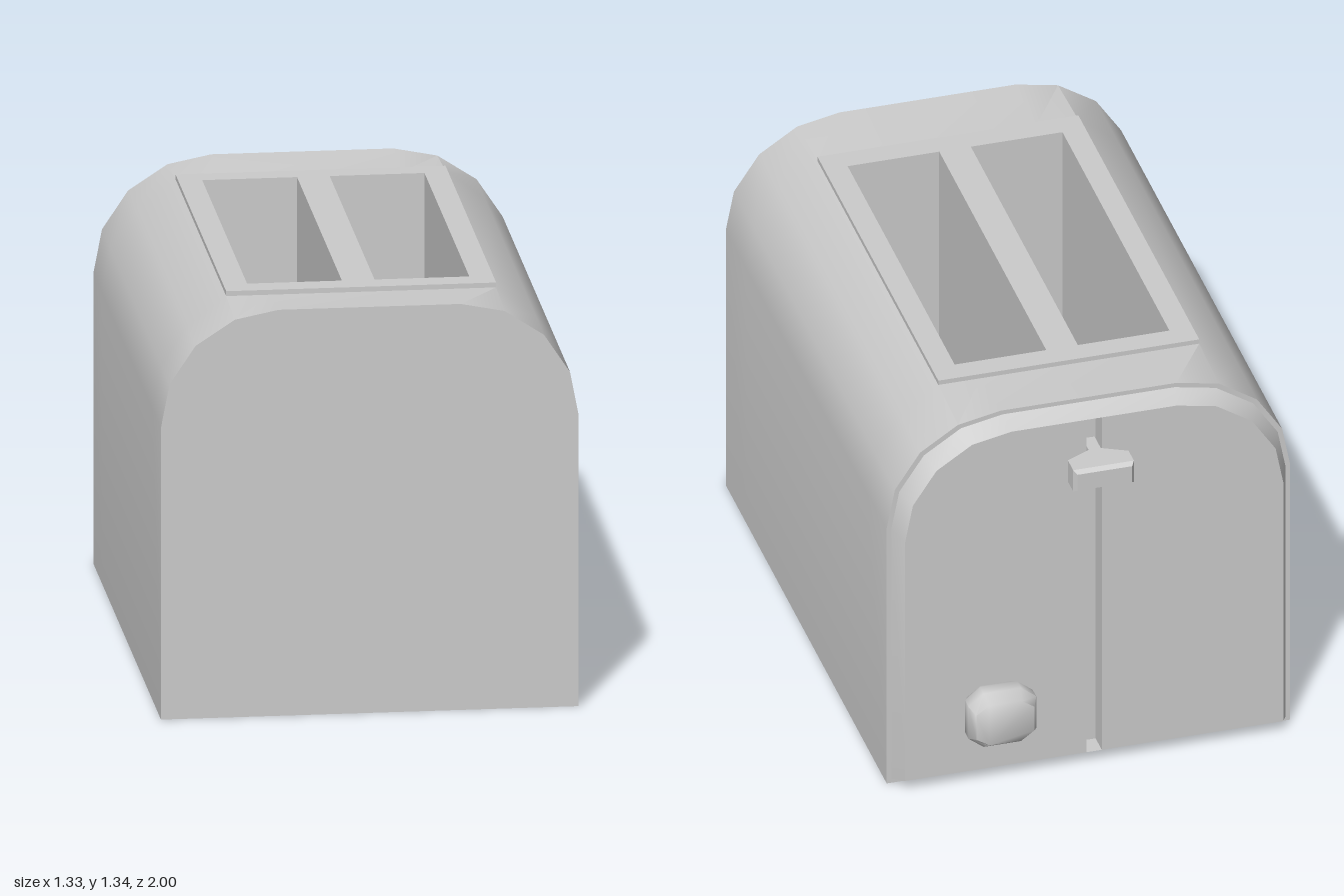
import * as THREE from 'three';
import { toCreasedNormals } from 'three/addons/utils/BufferGeometryUtils.js';

const H = 1.335, W = 0.665;
// right half of the arched outline, bottom to top
const ARCH = [[W, 0], [W, 0.96], [0.638, 1.1], [0.555, 1.225], [0.43, 1.307], [0.29, H]];
// same outline with its crown flattened under the top plate
const FLAT = [...ARCH.slice(0, 4), [0.43, 1.32], [0.29, 1.32]];

const mirror = (half) => [...half, ...half.map(([x, y]) => [-x, y]).reverse()];
const inset = (pts, d) => pts.map(([x, y]) => [x * (1 - d / W), d + y * (1 - 2 * d / H)]);
const rect = (w, h) => [[w, -h], [w, h], [-w, h], [-w, -h]];
const roundedRect = (w, h) => mirror([[0.55 * w, -h], [w, -0.6 * h], [w, 0.6 * h], [0.55 * w, h]]);

// skin through rings [z, points], listed front to back, counter-clockwise seen from the front
function loft(rings, { capFront = false, capBack = false, skip = () => false, crease = 0.5 } = {}) {
  const out = [];
  const n = rings[0][1].length;
  const p = (i, j) => [...rings[i][1][j % n], rings[i][0]];
  for (let i = 0; i < rings.length - 1; i++) {
    for (let j = 0; j < n; j++) {
      if (skip(i, j)) continue;
      const a = p(i, j), b = p(i, j + 1), c = p(i + 1, j + 1), d = p(i + 1, j);
      out.push(...a, ...d, ...b, ...b, ...d, ...c);
    }
  }
  const e = rings.length - 1;
  for (let j = 1; j < n - 1; j++) {
    if (capFront) out.push(...p(0, 0), ...p(0, j), ...p(0, j + 1));
    if (capBack) out.push(...p(e, 0), ...p(e, j + 1), ...p(e, j));
  }
  const g = new THREE.BufferGeometry();
  g.setAttribute('position', new THREE.Float32BufferAttribute(out, 3));
  g.computeVertexNormals();
  return toCreasedNormals(g, crease);
}

// open tray whose mouth lies at z = 0 and faces +z
const tray = (w, h, depth) => loft([[0, rect(w, h)], [-depth, rect(w, h)]], { capBack: true });

export function createModel() {
  const group = new THREE.Group();
  const mat = new THREE.MeshStandardMaterial({ color: 0xcccccc });
  const open = new THREE.MeshStandardMaterial({ color: 0xcccccc, side: THREE.DoubleSide });
  const add = (name, geo, x = 0, y = 0, z = 0, m = mat) => {
    const mesh = new THREE.Mesh(geo, m);
    mesh.name = name;
    mesh.position.set(x, y, z);
    group.add(mesh);
  };

  // Arched shell, open on top where the plate sits
  const arch = mirror(ARCH), flat = mirror(FLAT);
  add('body', loft([[1, arch], [0.77, flat], [-0.593, flat], [-0.815, arch]], {
    capFront: true,
    skip: (i, j) => i === 1 && j >= 4 && j <= 6,
  }), 0, 0, 0, open);

  // Stepped and chamfered rim around the back
  const rim = inset(arch, 0.015), back = inset(arch, 0.042);
  add('backRim', loft([[-0.815, arch], [-0.815, rim], [-0.88, back]]), 0, 0, 0, open);

  // Back panel in two halves with the lever groove between them
  const groove = 0.025;
  const half = inset(ARCH, 0.042);
  const yLow = half[0][1], yTop = half[half.length - 1][1];
  for (const s of [1, -1]) {
    const outline = [[groove, yLow], ...half, [groove, yTop]];
    const shape = new THREE.Shape(outline.map(([x, y]) => new THREE.Vector2(s * x, y)));
    const panel = new THREE.ShapeGeometry(shape).rotateY(Math.PI);
    add(s > 0 ? 'backPanelRight' : 'backPanelLeft', panel, 0, 0, -0.88);
  }
  const grooveGeo = tray(groove, (yTop - yLow) / 2, 0.07).rotateY(Math.PI);
  add('leverGroove', grooveGeo, 0, (yLow + yTop) / 2, -0.88, open);

  // Top plate with two bread slots
  const box = (Path, x0, x1, z0, z1) =>
    new Path([[x0, -z1], [x1, -z1], [x1, -z0], [x0, -z0]].map(([x, y]) => new THREE.Vector2(x, y)));
  const plate = box(THREE.Shape, -0.43, 0.43, -0.593, 0.77);
  for (const s of [1, -1]) {
    const cx = s * 0.203;
    plate.holes.push(box(THREE.Path, cx - 0.151, cx + 0.151, -0.517, 0.69));
    const slot = tray(0.151, 0.6035, 0.92).rotateX(-Math.PI / 2);
    add(s > 0 ? 'slotLeft' : 'slotRight', slot, cx, 1.32, 0.0865, open);
  }
  const plateGeo = new THREE.ExtrudeGeometry(plate, { depth: 0.016, bevelEnabled: false });
  add('topPlate', plateGeo.rotateX(-Math.PI / 2), 0, 1.32, 0);

  // Lever: narrow stalk flaring to a bevelled grip
  add('lever', loft([
    [-0.815, rect(0.02, 0.04)],
    [-0.885, rect(0.02, 0.04)],
    [-0.925, rect(0.1, 0.04)],
    [-0.985, rect(0.1, 0.04)],
    [-1, rect(0.09, 0.03)],
  ], { capBack: true, crease: 0.2 }), 0, 1.142, 0);

  // Rounded browning knob, bulging in the middle
  add('knob', loft([
    [0, roundedRect(0.098, 0.088)],
    [-0.025, roundedRect(0.111, 0.1)],
    [-0.065, roundedRect(0.112, 0.1)],
    [-0.1, roundedRect(0.096, 0.074)],
  ], { capBack: true, crease: 0.95 }), 0.322, 0.267, -0.88);

  return group;
}
